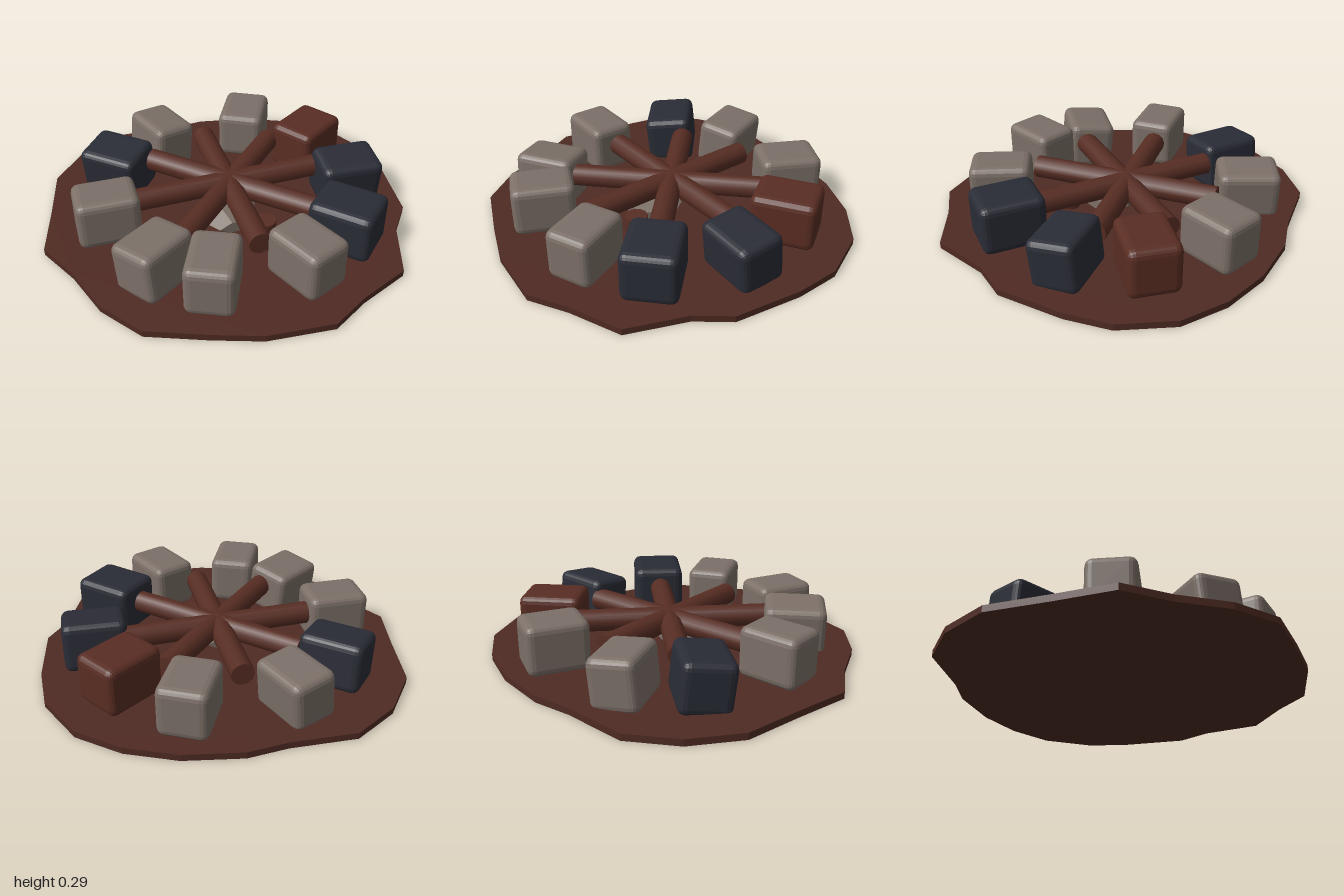
import * as THREE from 'three';
import { RoundedBoxGeometry } from 'three/addons/geometries/RoundedBoxGeometry.js';

const mat = (name, color, flatShading = false) => {
  const m = new THREE.MeshStandardMaterial({ color, flatShading });
  m.name = name;
  return m;
};

export function createModel() {
  const group = new THREE.Group();
  const earth = mat('earth brown', 0x4f2b23);
  const bark = mat('bark brown', 0x572d23);
  const tan = mat('warm grey stone', 0x7c7068, true);
  const navy = mat('dark slate stone', 0x2a2c36, true);
  const rust = mat('rust stone', 0x592d23, true);

  const add = (name, geometry, material) => {
    const mesh = new THREE.Mesh(geometry, material);
    mesh.name = name;
    group.add(mesh);
    return mesh;
  };

  // Irregular ground disc, outline given as x, z
  const outline = [
    [-0.16, -1.0], [0.11, -0.98], [0.38, -0.78], [0.56, -0.68], [0.77, -0.47], [0.91, -0.24],
    [0.98, 0.01], [0.93, 0.3], [0.8, 0.5], [0.56, 0.76], [0.37, 0.82], [0.11, 1.0],
    [-0.17, 0.945], [-0.39, 0.93], [-0.65, 0.72], [-0.8, 0.52], [-0.97, 0.27], [-0.98, 0.01],
    [-0.91, -0.25], [-0.88, -0.5], [-0.66, -0.7], [-0.43, -0.92],
  ];
  const shape = new THREE.Shape(outline.map(([x, z]) => new THREE.Vector2(x, -z)));
  const disc = new THREE.ExtrudeGeometry(shape, { depth: 0.035, bevelEnabled: false });
  disc.rotateX(-Math.PI / 2);
  add('groundDisc', disc, earth).position.y = 0.01;

  // Ring of stones: x, z, heading in degrees, width, material, tilt in degrees
  const stones = [
    [0.145, -0.63, -76, 0.245, tan, 5],
    [0.55, -0.325, -28, 0.255, tan, 0],
    [0.635, 0.065, 1, 0.265, rust, 0],
    [0.495, 0.42, 37, 0.25, navy, 6],
    [0.135, 0.65, 80, 0.28, navy, 0],
    [-0.215, 0.64, 101, 0.245, tan, 0],
    [-0.58, 0.365, -31, 0.245, tan, 0],
    [-0.67, 0.075, 1, 0.255, tan, -6],
    [-0.57, -0.35, 35, 0.245, tan, 0],
    [-0.215, -0.62, 76, 0.26, navy, 6],
  ];
  for (const [x, z, heading, width, material, tilt] of stones) {
    const length = material === tan ? 0.325 : 0.335;
    const stone = add('ringStone', new RoundedBoxGeometry(length, 0.265, width, 2, 0.04), material);
    stone.rotation.order = 'YXZ';
    stone.rotation.y = THREE.MathUtils.degToRad(-heading);
    stone.rotation.x = THREE.MathUtils.degToRad(tilt);
    stone.position.set(x, tilt ? 0.155 : 0.17, z);
  }

  // Crossed logs: start x, z and end x, z
  const logs = [
    [-0.5, -0.33, 0.43, 0.27],
    [0.27, -0.41, -0.3, 0.43],
    [-0.1, -0.48, 0.1, 0.5],
    [0.48, -0.09, -0.52, 0.11],
  ];
  for (const [x0, z0, x1, z1] of logs) {
    const dir = new THREE.Vector3(x1 - x0, 0, z1 - z0);
    const log = add('log', new THREE.CylinderGeometry(0.06, 0.06, dir.length(), 12), bark);
    log.position.set((x0 + x1) / 2, 0.19, (z0 + z1) / 2);
    log.quaternion.setFromUnitVectors(new THREE.Vector3(0, 1, 0), dir.normalize());
  }

  // Short stub and a flat pebble under the logs
  const stub = add('logStub', new THREE.CylinderGeometry(0.06, 0.06, 0.1, 12), bark);
  stub.position.set(-0.09, 0.09, 0.3);
  const pebble = add('centrePebble', new THREE.DodecahedronGeometry(0.16), tan);
  pebble.scale.y = 0.35;
  pebble.position.set(-0.09, 0.075, 0.07);

  return group;
}
